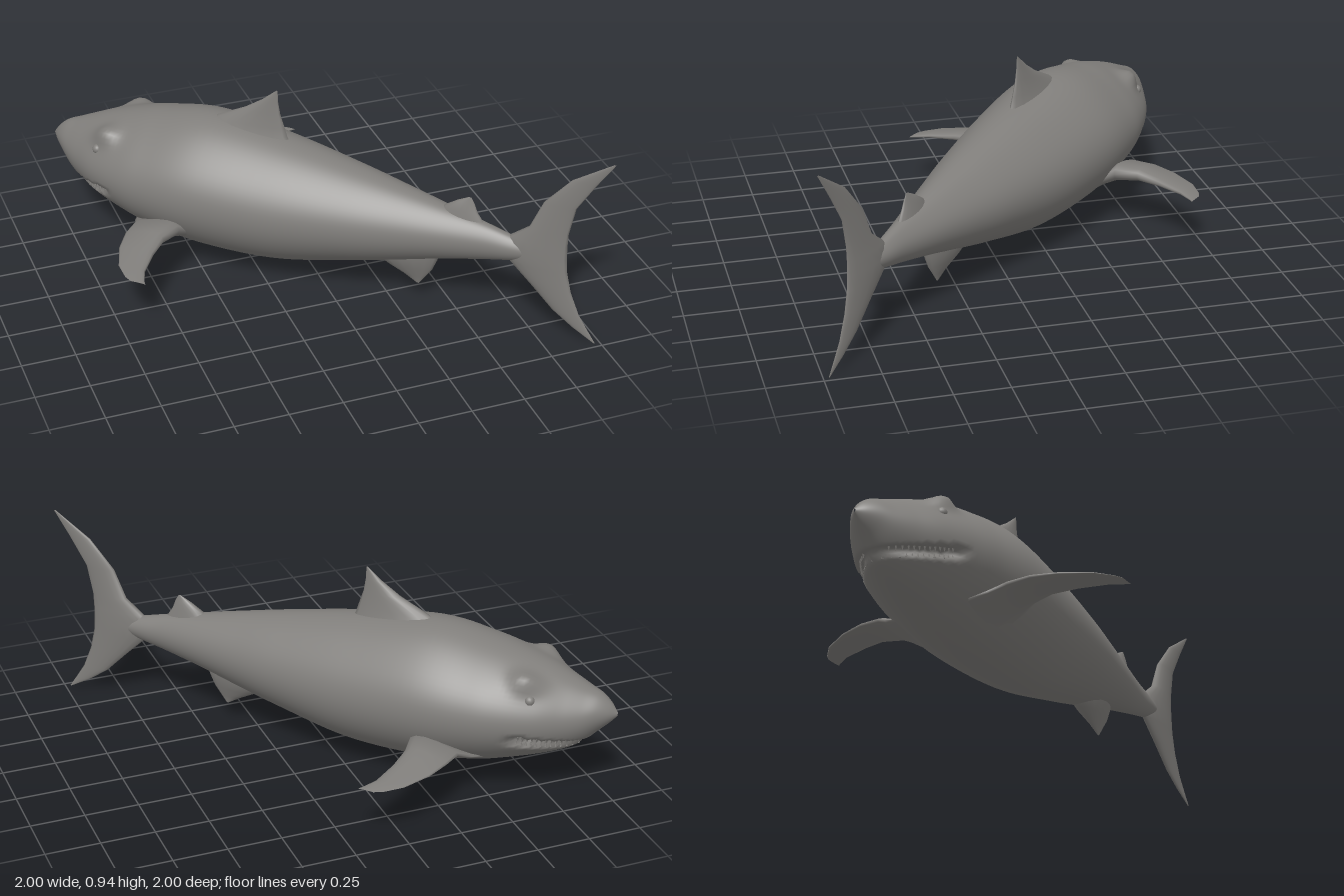
import * as THREE from 'three';

// Local frame: x runs nose to tail, y up, z sideways. The whole fish is turned 45 degrees at the end.
const skin = new THREE.MeshStandardMaterial({ color: 0x807e7b });
skin.name = 'grey skin';

// Skin a list of closed rings (equal point counts) into one smooth surface facing outwards.
function loft(rings) {
  const n = rings[0].length, index = [];
  const pts = rings.flat();
  for (let i = 0; i < rings.length - 1; i++) {
    for (let j = 0; j < n; j++) {
      const k = (j + 1) % n, a = i * n + j, b = i * n + k;
      index.push(a, b, a + n, b, b + n, a + n);
    }
  }
  // Flip the faces when the enclosed volume comes out negative
  let volume = 0;
  const mid = new THREE.Box3().setFromPoints(pts).getCenter(new THREE.Vector3());
  const cross = new THREE.Vector3();
  for (let i = 0; i < index.length; i += 3) {
    const [a, b, c] = [0, 1, 2].map(k => pts[index[i + k]].clone().sub(mid));
    volume += a.dot(cross.crossVectors(b, c));
  }
  if (volume < 0) index.reverse();
  const g = new THREE.BufferGeometry().setFromPoints(pts);
  g.setIndex(index);
  g.computeVertexNormals();
  return g;
}

// Fin from sections [lead, trail, half thickness], thickened along an axis with a lens profile.
// A negative bias moves the thickest part towards the trailing edge.
function fin(sections, axis, bias) {
  const n = 16;
  return loft(sections.map(([lead, trail, half]) => Array.from({ length: n }, (_, j) => {
    const a = j / n * Math.PI * 2;
    return lead.clone().lerp(trail, (1 - Math.cos(a)) / 2)
      .addScaledVector(axis, Math.sin(a) * half * (0.8 + bias * Math.cos(a)));
  })));
}

// Upright fin from rows [height, lead x, trail x, half thickness].
function uprightFin(rows) {
  return fin(rows.map(([y, x0, x1, t]) =>
    [new THREE.Vector3(x0, y, 0), new THREE.Vector3(x1, y, 0), t]), new THREE.Vector3(0, 0, 1), 0.2);
}

// Height of the mouth line along the head
const MOUTH_END = -0.96;
const mouthY = x => 0.3 + (x + 1.25) * 0.18;

// Body stations: x, half width, top, bottom
const STATIONS = [
  [-1.41, 0.004, 0.45, 0.435], [-1.375, 0.045, 0.495, 0.395], [-1.33, 0.085, 0.53, 0.35],
  [-1.27, 0.13, 0.555, 0.29], [-1.2, 0.175, 0.585, 0.245], [-1.09, 0.238, 0.63, 0.2],
  [-0.95, 0.29, 0.675, 0.155], [-0.8, 0.322, 0.71, 0.115], [-0.54, 0.338, 0.745, 0.075],
  [-0.17, 0.297, 0.7, 0.08], [0.19, 0.225, 0.635, 0.155], [0.42, 0.168, 0.588, 0.212],
  [0.61, 0.12, 0.547, 0.262], [0.82, 0.068, 0.5, 0.31], [0.96, 0.045, 0.465, 0.34],
  [1.1, 0.018, 0.43, 0.375]];

const widthCurve = new THREE.CatmullRomCurve3(
  STATIONS.map(([x, w]) => new THREE.Vector3(x, w, 0)), false, 'catmullrom');
const heightCurve = new THREE.CatmullRomCurve3(
  STATIONS.map(([x, , t, b]) => new THREE.Vector3(x, t, b)), false, 'catmullrom');

function bodyGeometry() {
  const steps = 105, n = 72, rings = [];
  for (let i = 0; i <= steps; i++) {
    const { x, y: top, z: bottom } = heightCurve.getPoint(i / steps);
    const w = Math.max(widthCurve.getPoint(i / steps).y, 0.003);
    const cy = (top + bottom) / 2, h = (top - bottom) / 2;
    rings.push(Array.from({ length: n }, (_, j) => {
      const a = j / n * Math.PI * 2;
      // Flattened flanks, more so on the back, with a raised brow above each eye
      const flank = 1 - (Math.cos(a) > 0 ? 0.055 : 0.035) * Math.sin(2 * a) ** 2;
      const off = Math.min(a, Math.PI * 2 - a) - 0.68;
      const brow = 0.048 * Math.exp(-(((x + 1.03) / 0.065) ** 2) - (off / 0.2) ** 2);
      const p = new THREE.Vector3(x,
        cy + (h * flank + brow) * Math.cos(a), (w * flank + brow) * Math.sin(a));
      // Press the mouth line inwards
      const gap = Math.abs(p.y - mouthY(x)) / 0.024;
      if (x < MOUTH_END && x > -1.3 && gap < 1) {
        const depth = 0.22 * (1 - gap * gap) * Math.min(1, (MOUTH_END - x) / 0.08);
        p.z *= 1 - depth;
        p.y += (cy - p.y) * depth * 0.6;
      }
      return p;
    }));
  }
  return loft(rings);
}

export function createModel() {
  const model = new THREE.Group();
  model.name = 'shark';
  const add = (name, geometry) => {
    const m = new THREE.Mesh(geometry, skin);
    m.name = name;
    model.add(m);
    return m;
  };

  add('body', bodyGeometry());

  add('dorsalFin', uprightFin([
    [0.66, -0.62, -0.13, 0.085], [0.71, -0.57, -0.155, 0.065], [0.75, -0.51, -0.167, 0.047],
    [0.82, -0.37, -0.19, 0.028], [0.88, -0.28, -0.2, 0.015], [0.94, -0.208, -0.203, 0.002]]));

  add('rearDorsalFin', uprightFin([
    [0.47, 0.57, 0.84, 0.05], [0.545, 0.63, 0.79, 0.033],
    [0.585, 0.69, 0.775, 0.015], [0.615, 0.748, 0.757, 0.002]]));

  add('tailFin', uprightFin([
    [0, 1.372, 1.38, 0.002], [0.06, 1.265, 1.34, 0.008], [0.13, 1.165, 1.295, 0.014],
    [0.24, 1.055, 1.25, 0.025], [0.34, 0.95, 1.227, 0.036], [0.405, 0.91, 1.222, 0.042],
    [0.47, 0.95, 1.22, 0.036], [0.54, 1.04, 1.222, 0.03], [0.68, 1.1, 1.25, 0.022],
    [0.82, 1.222, 1.335, 0.012], [0.94, 1.405, 1.414, 0.002]]));

  add('bellyFin', uprightFin([
    [0.3, 0.25, 0.62, 0.085], [0.24, 0.27, 0.605, 0.08], [0.18, 0.345, 0.58, 0.05],
    [0.13, 0.44, 0.545, 0.018], [0.09, 0.506, 0.516, 0.002]]));

  // Paired parts
  for (const side of [-1, 1]) {
    const label = side < 0 ? 'left' : 'right';

    // Pectoral rows: span, lead x, trail x, lead y, trail y, half thickness
    const rows = [
      [0.18, -0.87, -0.53, 0.2, 0.17, 0.035], [0.27, -0.83, -0.54, 0.235, 0.25, 0.045],
      [0.34, -0.79, -0.553, 0.272, 0.29, 0.05], [0.45, -0.778, -0.575, 0.28, 0.293, 0.038],
      [0.57, -0.745, -0.566, 0.277, 0.283, 0.024], [0.7, -0.675, -0.54, 0.273, 0.273, 0.013],
      [0.765, -0.605, -0.505, 0.27, 0.27, 0.007], [0.785, -0.565, -0.49, 0.27, 0.27, 0.003]];
    add(label + 'PectoralFin', fin(rows.map(([z, x0, x1, y0, y1, t]) =>
      [new THREE.Vector3(x0, y0, z * side), new THREE.Vector3(x1, y1, z * side), t]),
    new THREE.Vector3(0, 1, 0), -0.4));

    const eye = add(label + 'Eye', new THREE.SphereGeometry(0.024, 16, 12));
    eye.position.set(-1.06, 0.53, 0.193 * side);

    // Teeth along the upper and lower lips
    const teeth = new THREE.Group();
    teeth.name = label + 'Teeth';
    const tooth = new THREE.ConeGeometry(0.007, 0.022, 4);
    for (let i = 0; i < 13; i++) {
      const x = -1.255 + i * 0.019;
      const k = STATIONS.findIndex(s => s[0] > x), A = STATIONS[k - 1], B = STATIONS[k];
      const [, w, top, bottom] = A.map((v, c) => v + (B[c] - v) * (x - A[0]) / (B[0] - A[0]));
      for (const up of [-1, 1]) {
        const y = mouthY(x) - up * 0.011;
        const r = (y - (top + bottom) / 2) / ((top - bottom) / 2);
        if (Math.abs(r) > 0.97) continue;
        const m = new THREE.Mesh(tooth, skin);
        m.name = 'tooth';
        m.position.set(x + (up > 0 ? 0.009 : 0), y, side * (w * Math.sqrt(1 - r * r) - 0.02));
        if (up < 0) m.rotation.x = Math.PI;
        teeth.add(m);
      }
    }
    model.add(teeth);
  }

  model.rotation.y = -Math.PI / 4;
  const root = new THREE.Group();
  root.name = 'sharkRoot';
  root.add(model);
  return root;
}
